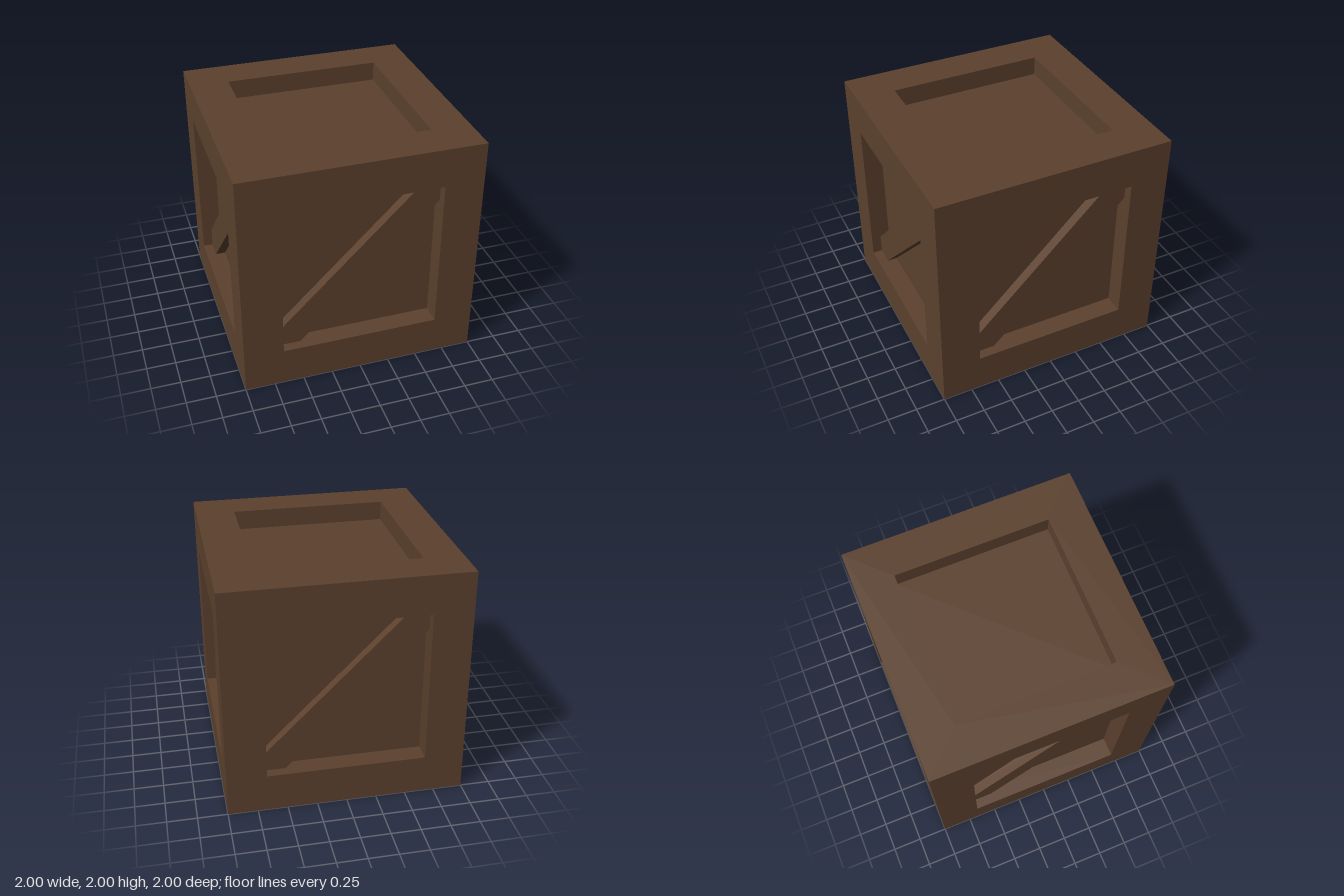
import * as THREE from 'three';

const HALF = 1;            // half the crate's side
const OPEN = 2 / 3;        // half the opening in each frame
const PANEL = 5 / 6;       // distance of the recessed panels from the centre
const BRACE = 1 / 12;      // thickness of the diagonal planks
const CUT = 0.5;           // where a plank meets the frame's inner edge

const points = (list) => list.map(([x, y]) => new THREE.Vector2(x, y));
const square = (r) => points([[-r, -r], [r, -r], [r, r], [-r, r]]);

// Raised square frame, with its outer edge mitred to meet the neighbouring frames
function frameGeometry() {
  const shape = new THREE.Shape(square(HALF));
  shape.holes.push(new THREE.Path(square(OPEN).reverse()));
  const geo = new THREE.ExtrudeGeometry(shape, { depth: HALF - PANEL, bevelEnabled: false });
  const p = geo.attributes.position;
  for (let i = 0; i < p.count; i++) {
    if (p.getZ(i) < 0.01 && Math.abs(p.getX(i)) > 0.99) {
      p.setXY(i, p.getX(i) * PANEL, p.getY(i) * PANEL);
    }
  }
  geo.computeVertexNormals();
  return geo.translate(0, 0, PANEL);
}

// Diagonal plank, its ends cut square into the corners of the opening
function braceGeometry() {
  const shape = new THREE.Shape(points([
    [-OPEN, -OPEN], [-CUT, -OPEN], [OPEN, CUT], [OPEN, OPEN], [CUT, OPEN], [-OPEN, -CUT],
  ]));
  return new THREE.ExtrudeGeometry(shape, { depth: BRACE, bevelEnabled: false })
    .translate(0, 0, PANEL);
}

export function createModel() {
  const wood = new THREE.MeshStandardMaterial({ color: 0x5c412e });
  wood.name = 'brown wood';

  const crate = new THREE.Group();
  crate.name = 'crate';
  const body = new THREE.Group();
  body.name = 'crateBody';
  body.position.y = HALF;
  crate.add(body);

  // Inner box whose faces are the recessed panels
  const panels = new THREE.Mesh(new THREE.BoxGeometry(2 * PANEL, 2 * PANEL, 2 * PANEL), wood);
  panels.name = 'panels';
  body.add(panels);

  const frame = frameGeometry();
  const brace = braceGeometry();
  const add = (geometry, name, rx, ry) => {
    const mesh = new THREE.Mesh(geometry, wood);
    mesh.name = name;
    mesh.rotation.set(rx, ry, 0);
    body.add(mesh);
  };

  // Four braced sides
  ['front', 'left', 'back', 'right'].forEach((side, i) => {
    add(frame, side + 'Frame', 0, i * Math.PI / 2);
    add(brace, side + 'Brace', 0, i * Math.PI / 2);
  });

  // Plain lid and base
  add(frame, 'topFrame', -Math.PI / 2, 0);
  add(frame, 'bottomFrame', Math.PI / 2, 0);

  return crate;
}
